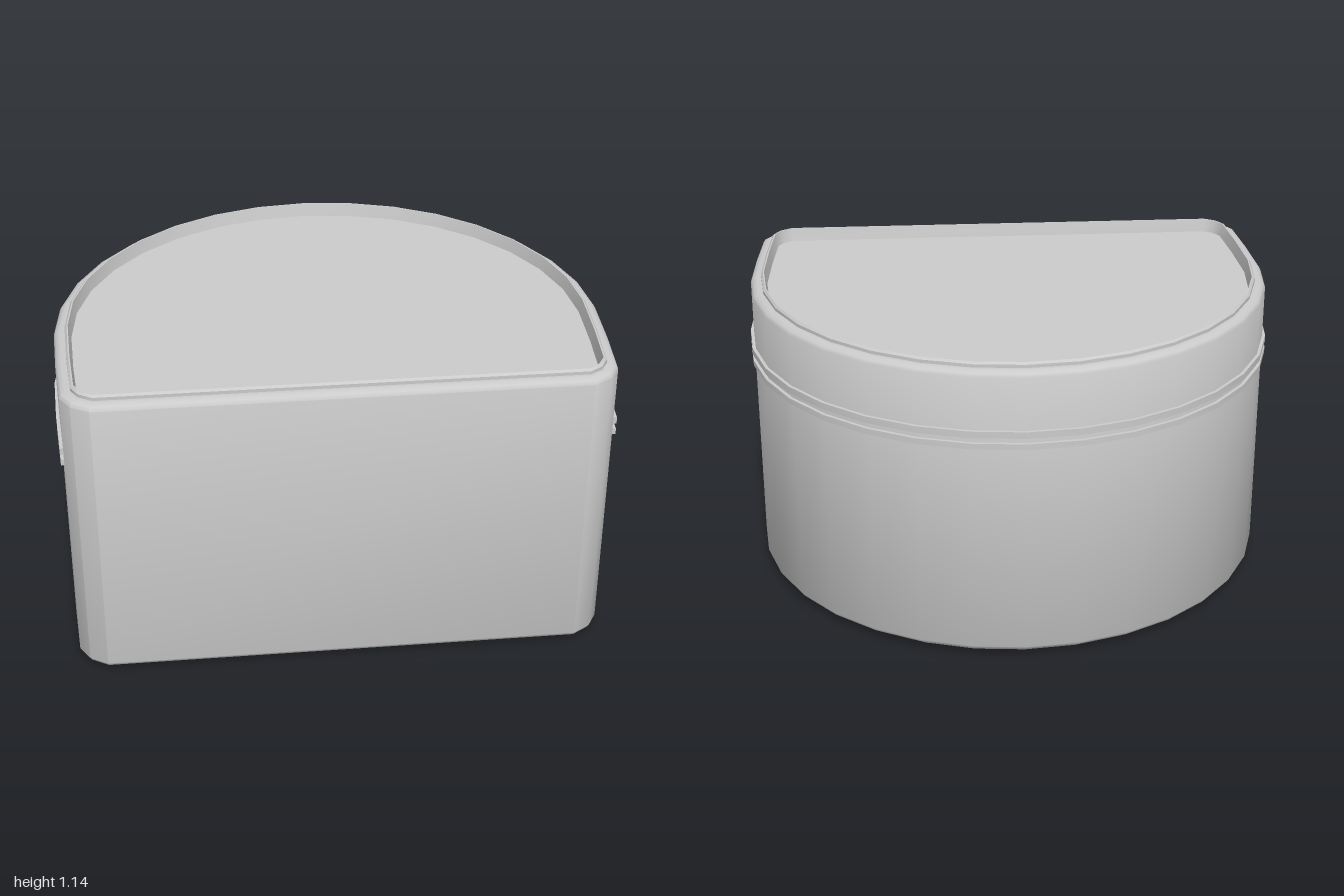
import * as THREE from 'three';
import { toCreasedNormals } from 'three/addons/utils/BufferGeometryUtils.js';

const RADIUS = 0.987, CENTRE_Z = 0.222;
const material = new THREE.MeshStandardMaterial({ color: 0xcccccc });

// Plan outline [x, z]: rounded front corner, slightly flared side, round back.
function planOutline() {
  const half = [[0.86, 0.772], [0.925, 0.732], [0.962, 0.67], [0.978, 0.45]];
  for (let i = 0; i <= 8; i++) {
    const a = (i / 16) * Math.PI;
    half.push([RADIUS * Math.cos(a), CENTRE_Z - RADIUS * Math.sin(a)]);
  }
  const mirrored = half.slice(0, -1).reverse().map(([x, z]) => [-x, z]);
  return [...half, ...mirrored];
}
const outline = planOutline();

// Outline moved outward by d with mitred corners.
function offsetOutline(d) {
  const n = outline.length;
  const normal = (a, b) => {
    const dx = b[0] - a[0], dz = b[1] - a[1], l = Math.hypot(dx, dz);
    return [-dz / l, dx / l];
  };
  return outline.map((p, i) => {
    const a = normal(outline[(i + n - 1) % n], p);
    const b = normal(p, outline[(i + 1) % n]);
    const k = d / (1 + a[0] * b[0] + a[1] * b[1]);
    return [p[0] + (a[0] + b[0]) * k, p[1] + (a[1] + b[1]) * k];
  });
}

// Closed skin through offset outlines; profile rows are [offset, y].
function loft(profile) {
  const pos = [];
  const rings = profile.map(([d, y]) => offsetOutline(d).map(([x, z]) => [x, y, z]));
  const tri = (a, b, c) => pos.push(...a, ...b, ...c);
  const n = outline.length, last = rings.length - 1;
  const low = [0, profile[0][1], 0.2], high = [0, profile[last][1], 0.2];
  for (let i = 0; i < n; i++) {
    const j = (i + 1) % n;
    tri(low, rings[0][j], rings[0][i]);
    tri(high, rings[last][i], rings[last][j]);
    for (let r = 0; r < last; r++) {
      tri(rings[r][i], rings[r][j], rings[r + 1][j]);
      tri(rings[r][i], rings[r + 1][j], rings[r + 1][i]);
    }
  }
  const geometry = new THREE.BufferGeometry();
  geometry.setAttribute('position', new THREE.Float32BufferAttribute(pos, 3));
  return toCreasedNormals(geometry, 0.6);
}

// Thin strip that wraps the sides and back, leaving the front clear.
function bandGeometry(y0, y1) {
  const wrap = (d) => offsetOutline(d).slice(2, -2);
  const points = [...wrap(0.012), ...wrap(-0.01).reverse()];
  const shape = new THREE.Shape(points.map(([x, z]) => new THREE.Vector2(x, -z)));
  const geometry = new THREE.ExtrudeGeometry(shape, { depth: y1 - y0, bevelEnabled: false });
  geometry.rotateX(-Math.PI / 2).translate(0, y0, 0);
  return toCreasedNormals(geometry, 0.6);
}

export function createModel() {
  const model = new THREE.Group();
  const add = (name, geometry) => {
    const mesh = new THREE.Mesh(geometry, material);
    mesh.name = name;
    model.add(mesh);
  };

  // Body with bevelled edges, raised rims and recessed top and bottom panels
  const HEIGHT = 1.145;
  const upper = [[0, 1.105], [-0.007, 1.117], [-0.022, 1.125], [-0.04, 1.125],
    [-0.04, 1.137], [-0.047, HEIGHT], [-0.052, HEIGHT], [-0.062, 1.095]];
  const lower = upper.map(([d, y]) => [d, HEIGHT - y]).reverse();
  add('body', loft([...lower, ...upper]));

  // Pair of trim strips
  add('lowerBand', bandGeometry(0.84, 0.862));
  add('upperBand', bandGeometry(0.883, 0.908));

  return model;
}
